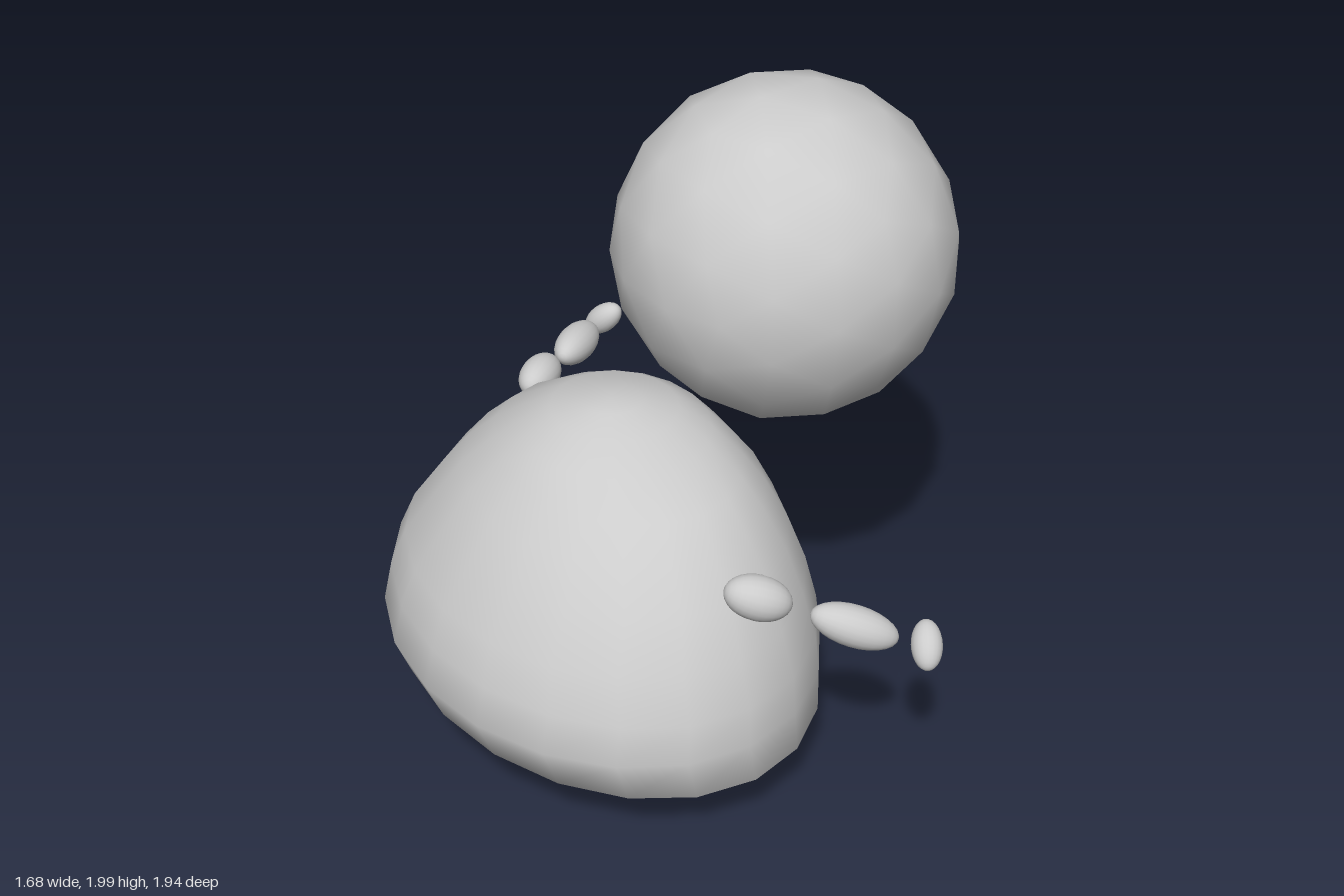
import * as THREE from 'three';

const material = new THREE.MeshStandardMaterial({ color: 0xcccccc });

// Lopsided body: horizontal oval sections [y, xMin, xMax, zMin, zMax]
const SECTIONS = [
  [0.01, -0.02, 0.21, -0.1, 0.1],
  [0.03, -0.18, 0.25, -0.33, 0.32],
  [0.09, -0.44, 0.31, -0.59, 0.57],
  [0.16, -0.64, 0.35, -0.68, 0.66],
  [0.25, -0.79, 0.36, -0.77, 0.74],
  [0.375, -0.84, 0.38, -0.77, 0.73],
  [0.5, -0.81, 0.36, -0.755, 0.72],
  [0.63, -0.77, 0.335, -0.69, 0.66],
  [0.77, -0.675, 0.28, -0.6, 0.59],
  [0.88, -0.6, 0.23, -0.51, 0.49],
  [0.96, -0.51, 0.17, -0.43, 0.41],
  [1.03, -0.44, 0.11, -0.32, 0.27],
  [1.08, -0.34, 0.03, -0.23, 0.15],
  [1.11, -0.25, -0.08, -0.11, 0.05],
];

function bodyGeometry(sides = 20) {
  const pos = [], index = [];
  for (const [y, x0, x1, z0, z1] of SECTIONS) {
    for (let j = 0; j < sides; j++) {
      const t = (j / sides) * Math.PI * 2;
      pos.push(
        (x0 + x1) / 2 + ((x1 - x0) / 2) * Math.cos(t),
        y,
        (z0 + z1) / 2 + ((z1 - z0) / 2) * Math.sin(t)
      );
    }
  }
  const rows = SECTIONS.length;
  const bottom = rows * sides, top = bottom + 1, last = (rows - 1) * sides;
  pos.push(0.1, 0.005, 0, -0.17, 1.12, -0.03);
  for (let j = 0; j < sides; j++) {
    const k = (j + 1) % sides;
    for (let i = 0; i < rows - 1; i++) {
      const a = i * sides + j, b = i * sides + k;
      index.push(a, a + sides, b, b, a + sides, b + sides);
    }
    index.push(j, k, bottom, last + j, top, last + k);
  }
  const g = new THREE.BufferGeometry();
  g.setAttribute('position', new THREE.Float32BufferAttribute(pos, 3));
  g.setIndex(index);
  g.computeVertexNormals();
  return g;
}

// Ellipsoid stretched along a direction
function bead(name, centre, dir, long, short) {
  const m = new THREE.Mesh(new THREE.SphereGeometry(1, 20, 14), material);
  m.name = name;
  m.scale.set(short, long, short);
  m.position.set(...centre);
  m.quaternion.setFromUnitVectors(
    new THREE.Vector3(0, 1, 0), new THREE.Vector3(...dir).normalize());
  return m;
}

function arm(name, upper, lower, hand) {
  const g = new THREE.Group();
  g.name = name;
  g.add(bead('upperArm', ...upper), bead('forearm', ...lower), bead('hand', ...hand));
  return g;
}

export function createModel() {
  const model = new THREE.Group();
  model.name = 'figure';

  const body = new THREE.Mesh(bodyGeometry(), material);
  body.name = 'body';

  // Faceted outline with smooth shading
  const head = new THREE.Mesh(new THREE.IcosahedronGeometry(0.5, 2), material);
  head.name = 'head';
  head.position.set(0.35, 1.505, 0.09);

  model.add(
    body,
    head,
    arm('frontArm',
      [[-0.145, 0.805, 0.64], [0.81, -0.34, 0.48], 0.1, 0.065],
      [[0.08, 0.7, 0.79], [0.76, -0.35, 0.54], 0.132, 0.06],
      [[0.25, 0.63, 0.905], [0.45, 0.62, -0.64], 0.074, 0.045]),
    arm('backArm',
      [[-0.03, 0.83, -0.64], [0.81, -0.08, -0.58], 0.102, 0.06],
      [[0.21, 0.785, -0.795], [0.8, -0.15, -0.57], 0.132, 0.06],
      [[0.395, 0.755, -0.915], [0.33, 0.69, 0.65], 0.078, 0.045])
  );
  return model;
}
